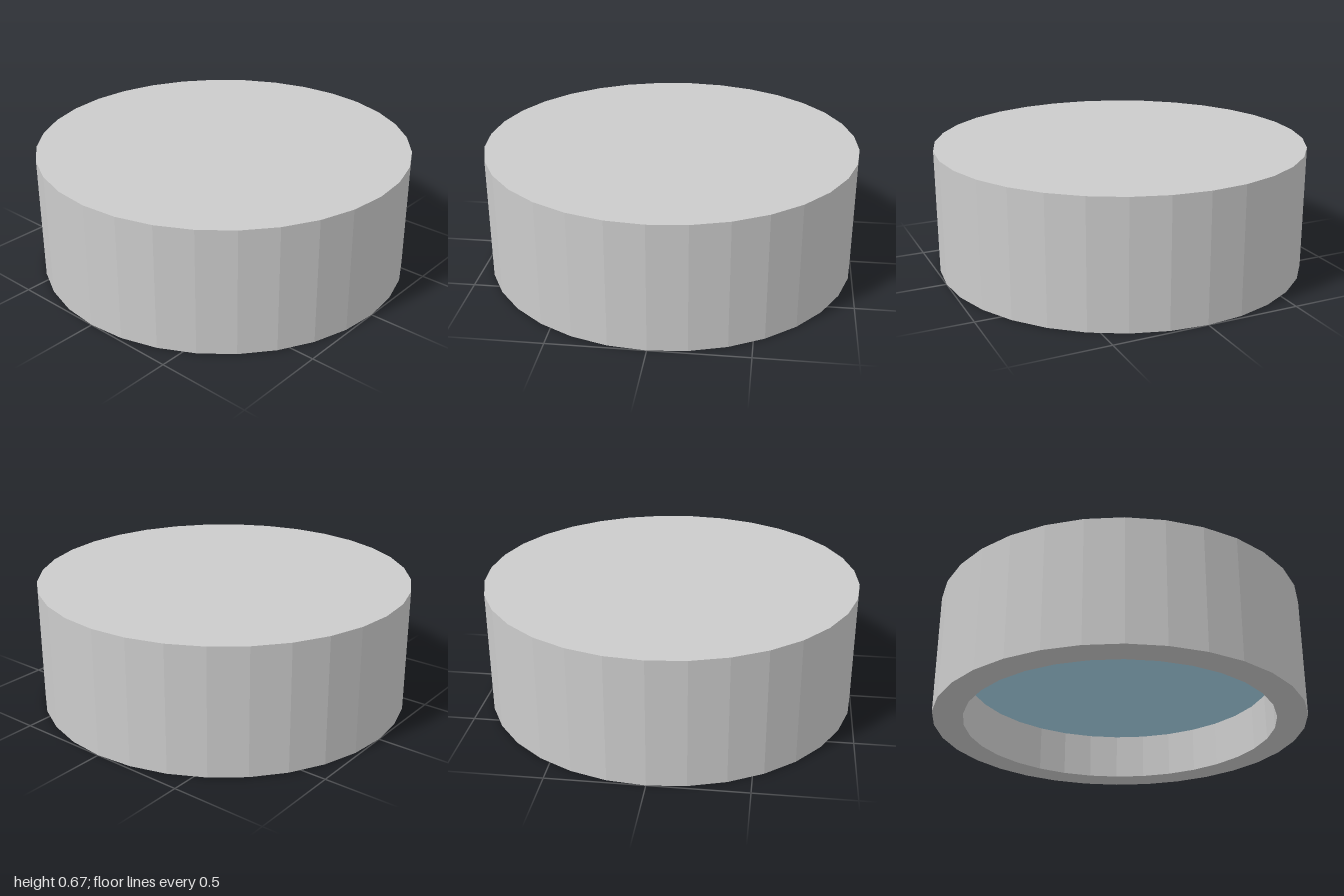
import * as THREE from 'three';

const SIDES = 32;
const RADIUS = 1, HEIGHT = 0.67;
const INNER_RADIUS = 0.84, RECESS = 0.26;

export function createModel() {
  const model = new THREE.Group();
  model.name = 'recessedRoundLight';

  // Housing: closed top, outer wall, bottom rim and the wall of the recess
  const profile = [
    [INNER_RADIUS, RECESS],
    [INNER_RADIUS, 0],
    [RADIUS, 0],
    [RADIUS, HEIGHT],
    [0, HEIGHT],
  ].map(([x, y]) => new THREE.Vector2(x, y));
  const housing = new THREE.Mesh(
    new THREE.LatheGeometry(profile, SIDES),
    new THREE.MeshStandardMaterial({ color: 0xcccccc, flatShading: true })
  );
  housing.name = 'housing';
  model.add(housing);

  // Pale blue disc set into the underside, facing down
  const lens = new THREE.Mesh(
    new THREE.CircleGeometry(INNER_RADIUS, SIDES).rotateX(Math.PI / 2),
    new THREE.MeshStandardMaterial({ color: 0xabd9ed })
  );
  lens.name = 'lens';
  lens.position.y = RECESS;
  model.add(lens);

  return model;
}
